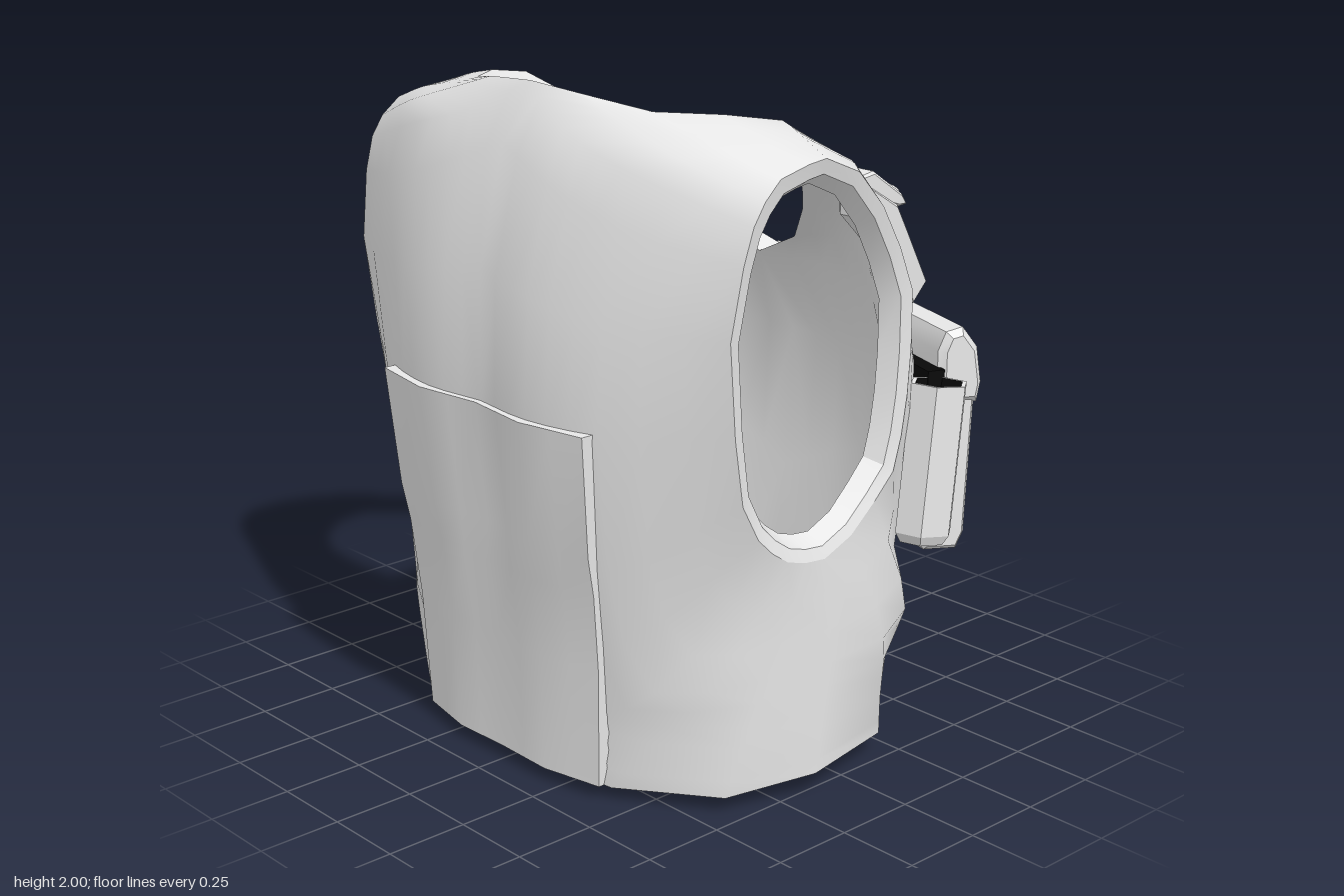
import * as THREE from 'three';
import { mergeGeometries, mergeVertices, toCreasedNormals } from 'three/addons/utils/BufferGeometryUtils.js';

const cloth = new THREE.MeshStandardMaterial({ color: 0xe7e7e7 });
cloth.name = 'light grey cloth';
const dark = new THREE.MeshStandardMaterial({ color: 0x080808 });
dark.name = 'black lining';

const V = (x, y, z) => new THREE.Vector3(x, y, z);
const points = (list) => list.map((p) => V(...p));

// Half of the vest is a band of loops from the armhole to the neck, centre lines and hem.
// Each loop starts on the shoulder and runs over +z, down, under the arm and up the -z side.
const armhole = points([
  [.785, 1.85, .15], [.81, 1.85, .24], [.825, 1.83, .36], [.83, 1.78, .42], [.83, 1.72, .46], [.825, 1.62, .49],
  [.81, 1.42, .52], [.8, 1.15, .49], [.79, .95, .45], [.79, .84, .39], [.795, .79, .34], [.795, .75, .28],
  [.795, .73, .21], [.79, .72, .13], [.785, .76, .02], [.77, .83, -.09], [.765, .9, -.17], [.765, 1, -.2],
  [.765, 1.12, -.22], [.765, 1.25, -.23], [.765, 1.42, -.23], [.76, 1.55, -.18], [.765, 1.68, -.1], [.765, 1.79, 0],
]);
const middle = points([
  [.66, 1.89, .12], [.65, 1.9, .27], [.64, 1.89, .4], [.57, 1.87, .5], [.45, 1.83, .57], [.48, 1.68, .61],
  [.46, 1.42, .66], [.46, 1.1, .675], [.46, .72, .64], [.48, .5, .6], [.55, .36, .55], [.68, .38, .46],
  [.76, .4, .31], [.79, .4, .1], [.775, .4, -.14], [.67, .4, -.35], [.48, .42, -.47], [.49, .65, -.495],
  [.51, .85, -.51], [.51, 1.1, -.51], [.5, 1.3, -.46], [.52, 1.5, -.38], [.57, 1.65, -.27], [.64, 1.79, -.1],
]);
const nearBorder = points([
  [.6, 1.905, .1], [.57, 1.925, .27], [.5, 1.92, .41], [.36, 1.935, .5], [.2, 1.9, .565], [.22, 1.76, .635],
  [.22, 1.46, .71], [.22, 1.1, .73], [.22, .71, .682], [.24, .45, .645], [.28, .2, .625], [.53, .2, .55],
  [.73, .2, .38], [.79, .2, .13], [.75, .2, -.16], [.5, .2, -.42], [.23, .2, -.495], [.23, .48, -.53],
  [.23, .74, -.57], [.23, 1.1, -.59], [.23, 1.36, -.5], [.36, 1.5, -.41], [.45, 1.63, -.3], [.55, 1.78, -.14],
]);
const border = points([
  [.55, 1.91, .08], [.5, 1.94, .25], [.38, 1.95, .4], [.2, 1.985, .49], [0, 2, .51], [0, 1.84, .61],
  [0, 1.5, .7], [0, 1.1, .71], [0, .7, .655], [0, .4, .63], [0, .03, .63], [.42, .04, .6],
  [.7, .05, .42], [.79, .07, .15], [.73, .07, -.18], [.34, .04, -.48], [0, 0, -.515], [0, .35, -.525],
  [0, .65, -.57], [0, 1.1, -.6], [0, 1.38, -.475], [.23, 1.48, -.405], [.36, 1.61, -.3], [.47, 1.76, -.17],
]);
const neckColumns = [20, 21, 22, 23, 0, 1, 2, 3, 4];
const hemColumns = [10, 11, 12, 13, 14, 15, 16];

// Surface through rows of points
function grid(rows, closed, flip = false) {
  const n = rows[0].length, pos = [], index = [];
  rows.forEach((row) => row.forEach((p) => pos.push(p.x, p.y, p.z)));
  for (let s = 0; s < rows.length - 1; s++) {
    for (let k = 0; k < (closed ? n : n - 1); k++) {
      const j = (k + 1) % n;
      const a = s * n + k, b = a + n, c = (s + 1) * n + j, d = s * n + j;
      index.push(...(flip ? [a, c, b, a, d, c] : [a, b, c, a, c, d]));
    }
  }
  const g = new THREE.BufferGeometry();
  g.setAttribute('position', new THREE.Float32BufferAttribute(pos, 3));
  g.setIndex(index);
  return g;
}

// Join a half with its mirror image and smooth over the seam
function bothSides(g, crease = 0) {
  const m = g.clone().scale(-1, 1, 1);
  const i = m.index.array;
  for (let t = 0; t < i.length; t += 3) [i[t], i[t + 1]] = [i[t + 1], i[t]];
  const all = mergeVertices(mergeGeometries([g, m]), 1e-4);
  all.computeVertexNormals();
  return crease ? toCreasedNormals(all, crease) : all;
}

// Smooth intermediate loops
function loft(loops, steps) {
  const curves = loops[0].map((_, k) => new THREE.CatmullRomCurve3(loops.map((l) => l[k])));
  return Array.from({ length: steps + 1 }, (_, s) => curves.map((c) => c.getPoint(s / steps)));
}

function mesh(name, geometry, material = cloth) {
  const m = new THREE.Mesh(geometry, material);
  m.name = name;
  return m;
}

// Side outline (depth, height) extruded across a width
function profile(outline, width, bevel) {
  const shape = new THREE.Shape(outline.map(([u, v]) => new THREE.Vector2(u, v)));
  const g = new THREE.ExtrudeGeometry(shape, {
    depth: width - 2 * bevel, bevelSize: bevel, bevelThickness: bevel, bevelOffset: -bevel, bevelSegments: 1,
  });
  g.translate(0, 0, bevel - width / 2).rotateY(-Math.PI / 2);
  return toCreasedNormals(g, 0.6);
}

function makeButton(x, y, z, tilt) {
  const b = mesh('button', new THREE.CylinderGeometry(.03, .034, .016, 12).rotateX(Math.PI / 2));
  b.position.set(x, y, z);
  b.rotation.x = tilt;
  return b;
}

function makeShell() {
  const shell = new THREE.Group();
  shell.name = 'vestShell';
  const toHole = (p, dx, fy, fz) => V(p.x - dx, 1.22 + (p.y - 1.22) * fy, .12 + (p.z - .12) * fz);
  const inward = (p, fx, fz) => V(p.x * fx, p.y - .05 * THREE.MathUtils.clamp((p.y - 1.3) / .5, 0, 1), .03 + (p.z - .03) * fz);
  const rim = armhole.map((p) => toHole(p, .012, .93, .9));
  const rimInner = armhole.map((p) => toHole(p, .07, .875, .82));
  const lining = [middle, nearBorder].map((loop) => loop.map((p) => inward(p, .9, .9)));
  const borderInner = border.map((p, k) => (neckColumns.includes(k) ? inward(p, .89, .82) : inward(p, .9, .9)));
  const strip = (cols) => grid([cols.map((k) => border[k]), cols.map((k) => borderInner[k])], false);
  shell.add(
    mesh('outerShell', bothSides(grid(loft([armhole, middle, nearBorder, border], 9), true))),
    mesh('innerLining', bothSides(grid(loft([rimInner, ...lining, borderInner], 6), true, true))),
    mesh('armholeTrim', bothSides(grid([rimInner, rim, armhole], true), .5)),
    mesh('neckTrim', bothSides(strip(neckColumns), .7)),
    mesh('hemTrim', bothSides(strip(hemColumns), .7)),
  );
  return shell;
}

// Raised panel that follows the body on the +z side: height, depth and centre dip of each row
function makePanel() {
  const rows = [[.04, .662, .005], [.4, .675, .01], [.64, .7, 0], [.76, .724, .03], [1.12, .757, .027]];
  const g = new THREE.BoxGeometry(2, 4, .04, 8, 4, 1);
  const p = g.attributes.position;
  for (let i = 0; i < p.count; i++) {
    const [y, z, dip] = rows[Math.round(p.getY(i) + 2)];
    const t = Math.abs(p.getX(i));
    const bend = t < .5 ? -dip * (1 - t * 2) : -.04 * (t * 2 - 1);
    p.setXYZ(i, p.getX(i) * (.39 + .05 * y), y, z + bend + p.getZ(i) - .02);
  }
  return mesh('raisedPanel', toCreasedNormals(g, .7));
}

function makeLargePouch() {
  const pouch = new THREE.Group();
  pouch.name = 'largePouch';
  // The backing reaches sideways to the small pouch
  const backing = mesh('pouchBacking', new THREE.BoxGeometry(.445, .46, .055), dark);
  backing.position.set(-.015, .89, .025);
  pouch.add(
    backing,
    mesh('pouchBody', profile([[-.01, .6], [.02, .55], [.13, .54], [.155, .59], [.175, 1.06], [.045, 1.1], [.045, .66]], .43, .012)),
    mesh('pouchFlap', profile([[.045, 1.01], [.18, 1.0], [.192, 1.06], [.175, 1.17], [.125, 1.235], [.07, 1.225], [.045, 1.17]], .455, .02)),
    makeButton(0, 1.07, .192, 0),
  );
  pouch.position.set(.437, 0, -.51);
  pouch.rotation.y = Math.PI - .34;
  return pouch;
}

function makeSmallPouch() {
  const pouch = new THREE.Group();
  pouch.name = 'smallPouch';
  const turn = (list) => {
    const g = new THREE.LatheGeometry(list.map(([r, y]) => new THREE.Vector2(r, y)), 6).toNonIndexed();
    g.scale(.8, 1, 1);
    g.computeVertexNormals();
    return g;
  };
  pouch.add(
    mesh('smallPouchBody', turn([[0, 0], [.075, 0], [.095, .03], [.095, .48], [.08, .48]])),
    mesh('smallPouchInside', turn([[.08, .48], [.075, .1], [0, .1]]), dark),
  );
  pouch.position.set(.712, .625, -.365);
  pouch.rotation.set(-.11, -.3, 0);
  return pouch;
}

// Buttoned tab on the front of the shoulder
function makeShoulderTab() {
  const tab = new THREE.Group();
  tab.name = 'shoulderTab';
  const slant = (g) => g.applyMatrix4(new THREE.Matrix4().set(1, 0, .17, .595, 0, 1, 0, 0, 0, 0, 1, 0, 0, 0, 0, 1));
  tab.add(
    mesh('tabStrap', slant(profile([[-.2, 1.7], [-.35, 1.62], [-.41, 1.53], [-.52, 1.36], [-.44, 1.3], [-.34, 1.48], [-.2, 1.6]], .125, .01))),
    mesh('tabFlap', slant(profile([[-.17, 1.73], [-.23, 1.735], [-.38, 1.645], [-.405, 1.61], [-.36, 1.61], [-.2, 1.66]], .11, .008))),
    makeButton(.535, 1.652, -.372, Math.PI + .95),
  );
  return tab;
}

export function createModel() {
  const model = new THREE.Group();
  model.name = 'vest';
  model.add(makeShell(), makePanel());

  // Pouches and tabs on both sides
  for (const side of [1, -1]) {
    const gear = new THREE.Group();
    gear.name = side > 0 ? 'leftGear' : 'rightGear';
    gear.add(makeLargePouch(), makeSmallPouch(), makeShoulderTab());
    gear.scale.x = side;
    model.add(gear);
  }

  // Zip pull below the neck
  const pull = mesh('zipPull', new THREE.BoxGeometry(.04, .014, .13));
  pull.position.set(0, 1.345, -.535);
  pull.rotation.x = -.55;
  model.add(pull);
  return model;
}
